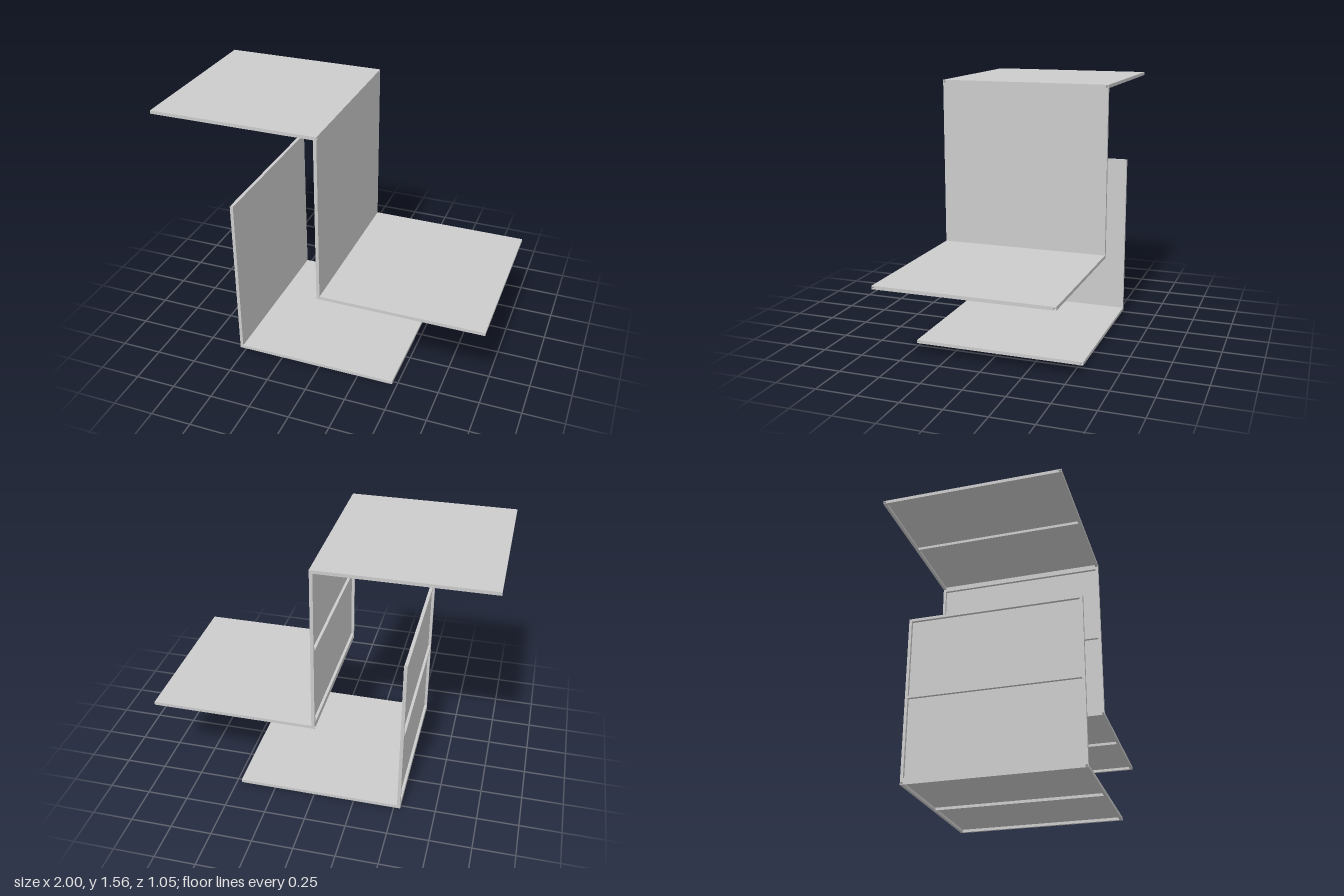
import * as THREE from 'three';

const L = 1.01;      // panel length
const W = 1.05;      // panel width along z
const T = 0.02;      // total panel thickness
const SHEET = 0.003; // covering sheet
const BAR = T - SHEET;
const WALL = 0.002;

const material = new THREE.MeshStandardMaterial({ color: 0xcccccc });

function add(group, name, geometry, x, y, z) {
  const mesh = new THREE.Mesh(geometry, material);
  mesh.name = name;
  mesh.position.set(x, y, z);
  group.add(mesh);
}

// Open-ended square tube running along x, centred on the origin
function tubeGeometry(length) {
  const square = (Type, r) => new Type([
    new THREE.Vector2(-r, -r), new THREE.Vector2(r, -r),
    new THREE.Vector2(r, r), new THREE.Vector2(-r, r),
  ]);
  const shape = square(THREE.Shape, BAR / 2);
  shape.holes.push(square(THREE.Path, BAR / 2 - WALL));
  return new THREE.ExtrudeGeometry(shape, { depth: length, bevelEnabled: false })
    .translate(0, 0, -length / 2)
    .rotateY(Math.PI / 2);
}

// Sheet facing +y, carried by a frame of tubes with one middle crossbar
function createPanel(name, length) {
  const panel = new THREE.Group();
  panel.name = name;
  add(panel, 'sheet', new THREE.BoxGeometry(length, SHEET, W), 0, T / 2 - SHEET / 2, 0);
  const y = -T / 2 + BAR / 2;
  for (const s of [-1, 1]) {
    add(panel, 'sideTube', tubeGeometry(length), 0, y, s * (W - BAR) / 2);
    add(panel, 'endBar', new THREE.BoxGeometry(BAR, BAR, W - 2 * BAR), s * (length - BAR) / 2, y, 0);
  }
  add(panel, 'middleBar', new THREE.BoxGeometry(BAR, BAR, W - 2 * BAR), 0, y, 0);
  return panel;
}

export function createModel() {
  const model = new THREE.Group();
  model.name = 'steppedPanels';

  // Horizontal panels: left end x, underside y
  for (const [name, x, y] of [
    ['bottomPanel', -0.54, 0],
    ['middlePanel', -0.01, 0.51],
    ['topPanel', -1, 1.54],
  ]) {
    const panel = createPanel(name, L);
    panel.position.set(x + L / 2, y + T / 2, 0);
    model.add(panel);
  }

  // Upright panels stand on the horizontal ones, sheet towards +x
  for (const [name, x, y] of [
    ['lowerUpright', -0.54, T],
    ['upperUpright', -0.01, 0.51 + T],
  ]) {
    const panel = createPanel(name, L);
    panel.rotation.z = -Math.PI / 2;
    panel.position.set(x + T / 2, y + L / 2, 0);
    model.add(panel);
  }
  return model;
}
